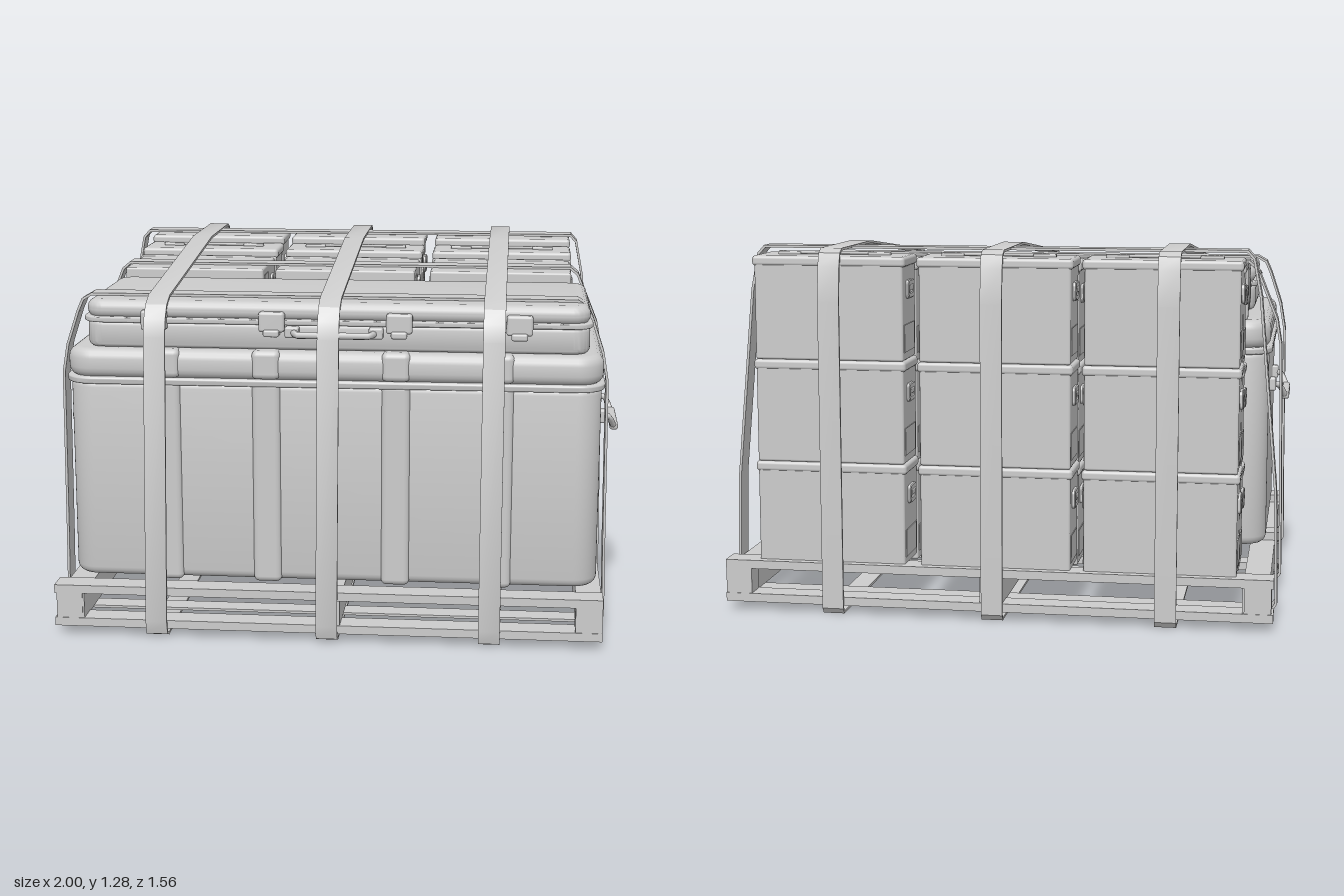
import * as THREE from 'three';
import { toCreasedNormals } from 'three/addons/utils/BufferGeometryUtils.js';
import { RoundedBoxGeometry } from 'three/addons/geometries/RoundedBoxGeometry.js';

const material = new THREE.MeshStandardMaterial({ color: 0xcccccc });

function add(parent, name, geometry, x = 0, y = 0, z = 0) {
  const mesh = new THREE.Mesh(geometry, material);
  mesh.name = name;
  mesh.position.set(x, y, z);
  parent.add(mesh);
  return mesh;
}

// Plain box given by its limits
function block(parent, name, x0, x1, y0, y1, z0, z1) {
  return add(parent, name, new THREE.BoxGeometry(x1 - x0, y1 - y0, z1 - z0),
    (x0 + x1) / 2, (y0 + y1) / 2, (z0 + z1) / 2);
}

// Box with softened edges given by its limits
function softBlock(parent, name, x0, x1, y0, y1, z0, z1, r = 0.01) {
  return add(parent, name, new RoundedBoxGeometry(x1 - x0, y1 - y0, z1 - z0, 2, r),
    (x0 + x1) / 2, (y0 + y1) / 2, (z0 + z1) / 2);
}

function roundRect(w, h, r, path = new THREE.Shape()) {
  const x = w / 2, y = h / 2;
  path.moveTo(-x + r, -y);
  path.absarc(x - r, -y + r, r, -Math.PI / 2, 0);
  path.absarc(x - r, y - r, r, 0, Math.PI / 2);
  path.absarc(-x + r, y - r, r, Math.PI / 2, Math.PI);
  path.absarc(-x + r, -y + r, r, Math.PI, Math.PI * 1.5);
  return path;
}

// Upright slab: rounded plan of radius r, top and bottom edges rounded by b
function slab(parent, name, x0, x1, y0, y1, z0, z1, r, b) {
  const geo = new THREE.ExtrudeGeometry(roundRect(x1 - x0 - 2 * b, z1 - z0 - 2 * b, r - b), {
    depth: y1 - y0 - 2 * b, bevelSize: b, bevelThickness: b, bevelSegments: 4, curveSegments: 6,
  });
  geo.rotateX(-Math.PI / 2);
  return add(parent, name, toCreasedNormals(geo, 0.6), (x0 + x1) / 2, y0 + b, (z0 + z1) / 2);
}

// Closed webbing band: loop of counter-clockwise points with a constant thickness
function band(points, width, t = 0.009) {
  const pts = points.map(([a, b]) => new THREE.Vector2(a, b));
  const n = pts.length;
  const inner = pts.map((p, i) => {
    const d0 = p.clone().sub(pts[(i + n - 1) % n]).normalize();
    const d1 = pts[(i + 1) % n].clone().sub(p).normalize();
    const n0 = new THREE.Vector2(-d0.y, d0.x), n1 = new THREE.Vector2(-d1.y, d1.x);
    const m = n0.clone().add(n1).normalize();
    return p.clone().addScaledVector(m, t / Math.max(0.5, m.dot(n0)));
  });
  const shape = new THREE.Shape(pts);
  shape.holes.push(new THREE.Path(inner));
  const geo = new THREE.ExtrudeGeometry(shape, { depth: width, bevelEnabled: false });
  return toCreasedNormals(geo.translate(0, 0, -width / 2), 0.5);
}

// Raised rectangular frame facing +x
function latchFrame(h, d) {
  const shape = roundRect(d, h, 0.012);
  shape.holes.push(roundRect(d - 0.028, h - 0.028, 0.005, new THREE.Path()));
  const geo = new THREE.ExtrudeGeometry(shape, {
    depth: 0.008, bevelSize: 0.003, bevelThickness: 0.003, bevelSegments: 1, curveSegments: 3,
  });
  return geo.rotateY(Math.PI / 2);
}

// Carry handle bent through a few points
function bail(points, radius) {
  const path = new THREE.CurvePath();
  const v = points.map((p) => new THREE.Vector3(...p));
  for (let i = 1; i < v.length; i++) path.add(new THREE.LineCurve3(v[i - 1], v[i]));
  return new THREE.TubeGeometry(path, 24, radius, 8);
}

function buildPallet() {
  const g = new THREE.Group();
  g.name = 'pallet';
  for (const [x0, x1] of [[-0.96, -0.87], [-0.045, 0.035], [0.855, 0.945]]) {
    block(g, 'stringer', x0, x1, 0.055, 0.15, -0.76, 0.76);
  }
  for (const [z0, z1] of [[-0.767, -0.68], [-0.03, 0.06], [0.675, 0.765]]) {
    block(g, 'topBoard', -0.975, 0.945, 0.15, 0.18, z0, z1);
    block(g, 'bottomBoard', -0.975, 0.945, 0.03, 0.06, z0, z1);
    for (const x of [-0.922, 0.898]) block(g, 'cornerBlock', x - 0.046, x + 0.046, 0.035, 0.178, z0 + 0.002, z1 - 0.002);
  }
  return g;
}

function buildTrunk() {
  const g = new THREE.Group();
  g.name = 'largeTrunk';
  slab(g, 'trunkBody', -0.93, 0.925, 0.185, 0.90, -0.285, 0.655, 0.085, 0.03);
  slab(g, 'trunkRim', -0.942, 0.937, 0.885, 0.91, -0.30, 0.672, 0.095, 0.008);
  slab(g, 'trunkLid', -0.935, 0.93, 0.905, 1.008, -0.295, 0.668, 0.09, 0.035);
  // Vertical ribs front and back
  for (const x of [-0.58, -0.23, 0.22, 0.575]) {
    softBlock(g, 'trunkRib', x - 0.05, x + 0.05, 0.18, 0.9, -0.297, 0.668, 0.02);
    softBlock(g, 'lidRib', x - 0.05, x + 0.05, 0.91, 1.012, -0.302, 0.674, 0.02);
  }
  // Folding end handles
  for (const s of [-1, 1]) {
    const x = s * 0.93;
    for (const z of [0.01, 0.365]) softBlock(g, 'handleMount', x - 0.022, x + 0.022, 0.715, 0.765, z - 0.02, z + 0.02, 0.008);
    add(g, 'trunkHandle', bail([
      [x, 0.74, 0.365], [s * 0.965, 0.735, 0.35], [s * 0.985, 0.69, 0.31],
      [s * 0.985, 0.69, 0.06], [s * 0.965, 0.735, 0.025], [x, 0.74, 0.01]], 0.011));
    softBlock(g, 'handleGrip', s * 0.985 - 0.015, s * 0.985 + 0.015, 0.677, 0.705, 0.05, 0.32, 0.01);
  }
  return g;
}

function buildCase() {
  const g = new THREE.Group();
  g.name = 'longCase';
  slab(g, 'caseBottom', -0.865, 0.88, 1.008, 1.105, 0.06, 0.63, 0.06, 0.02);
  slab(g, 'caseRim', -0.875, 0.89, 1.098, 1.118, 0.05, 0.645, 0.065, 0.007);
  slab(g, 'caseLid', -0.865, 0.88, 1.11, 1.175, 0.06, 0.635, 0.06, 0.03);
  // Front latches and carry handle
  for (const x of [-0.62, -0.21, 0.23, 0.64]) {
    softBlock(g, 'caseLatch', x - 0.045, x + 0.045, 1.075, 1.145, 0.62, 0.66, 0.01);
    softBlock(g, 'latchTab', x - 0.028, x + 0.028, 1.06, 1.085, 0.63, 0.672, 0.008);
  }
  add(g, 'caseHandle', bail([[-0.14, 1.075, 0.63], [-0.12, 1.072, 0.685], [0.13, 1.072, 0.685], [0.15, 1.075, 0.63]], 0.012));
  for (const x of [-0.14, 0.15]) softBlock(g, 'handleMount', x - 0.025, x + 0.025, 1.055, 1.095, 0.61, 0.655, 0.008);
  return g;
}

// Lidded can, w along x, h up, d along z, standing on its own origin
function buildCan(name, w, h, d) {
  const g = new THREE.Group();
  g.name = name;
  softBlock(g, 'canBody', -w / 2 + 0.008, w / 2 - 0.008, 0, h - 0.02, -d / 2 + 0.003, d / 2 - 0.003, 0.008);
  softBlock(g, 'canLid', -w / 2, w / 2, h - 0.036, h, -d / 2, d / 2, 0.012);
  for (const s of [-1, 1]) {
    add(g, 'canLatch', latchFrame(0.058, 0.085), s * (w / 2 - 0.004) - 0.004, h - 0.115, 0);
    softBlock(g, 'latchHook', s * (w / 2 - 0.003) - 0.008, s * (w / 2 - 0.003) + 0.008, h - 0.12, h - 0.1, -0.028, 0.028, 0.004);
    block(g, 'endPlate', s * (w / 2 - 0.008) - 0.003, s * (w / 2 - 0.008) + 0.003, 0.03, 0.125, -d / 2 + 0.02, d / 2 - 0.03);
    softBlock(g, 'lidClip', s * 0.16 - 0.04, s * 0.16 + 0.04, h - 0.004, h + 0.01, -0.014, 0.014, 0.005);
  }
  add(g, 'lidHandle', bail([[-0.2, h + 0.006, 0], [0.2, h + 0.006, 0]], 0.006));
  return g;
}

function buildCans() {
  const g = new THREE.Group();
  g.name = 'cans';
  for (const x of [-0.585, -0.015, 0.565]) {
    // Two stacked rows at the back
    for (let level = 0; level < 3; level++) {
      const front = buildCan('frontRowCan', 0.54, 0.36, 0.2);
      front.position.set(x, 0.147 + level * 0.36, -0.43);
      const back = buildCan('backRowCan', 0.54, 0.36, 0.205);
      back.position.set(x, 0.172 + level * 0.36, -0.637);
      g.add(front, back);
    }
    // One can lying on its side, lid to the back
    const lying = buildCan('lyingCan', 0.54, 0.35, 0.195);
    lying.rotation.x = -Math.PI / 2;
    lying.position.set(x, 1.107, 0.035);
    g.add(lying);
  }
  return g;
}

function buildStraps() {
  const g = new THREE.Group();
  g.name = 'straps';
  // Lengthwise loops: [z, y] pairs
  const side = [[-0.775, 0.02], [-0.76, 0], [0.74, 0], [0.77, 0.012], [0.782, 0.06], [0.702, 1.06], [0.685, 1.12],
    [0.65, 1.165], [0.59, 1.19], [-0.305, 1.28], [-0.72, 1.28], [-0.75, 1.265], [-0.765, 1.22], [-0.778, 1.1]];
  const loop = side.map(([z, y]) => [-z, y]).reverse();
  for (const x of [-0.61, -0.01, 0.555]) {
    add(g, 'lengthwiseStrap', band(loop, 0.075), x, 0, 0).rotation.y = Math.PI / 2;
  }
  // Crosswise loops: right half as [x, y], mirrored
  const halves = [
    [0.5, [[0.955, 0.022], [0.972, 0.05], [0.968, 0.3], [0.962, 0.9], [0.945, 1.0], [0.905, 1.12], [0.885, 1.165], [0.85, 1.185]]],
    [-0.105, [[0.955, 0.022], [0.975, 0.05], [0.972, 0.3], [0.962, 0.9], [0.945, 1.0], [0.87, 1.185], [0.84, 1.21]]],
    [-0.54, [[0.955, 0.022], [0.972, 0.05], [0.962, 0.45], [0.90, 1.12], [0.875, 1.25], [0.85, 1.278]]],
  ];
  for (const [z, half] of halves) {
    const mirrored = half.map(([x, y]) => [-x, y]).reverse();
    add(g, 'crosswiseStrap', band([...half, ...mirrored], 0.08), -0.012, 0, z);
  }
  return g;
}

export function createModel() {
  const model = new THREE.Group();
  model.name = 'loadedPallet';
  model.add(buildPallet(), buildTrunk(), buildCase(), buildCans(), buildStraps());
  return model;
}
